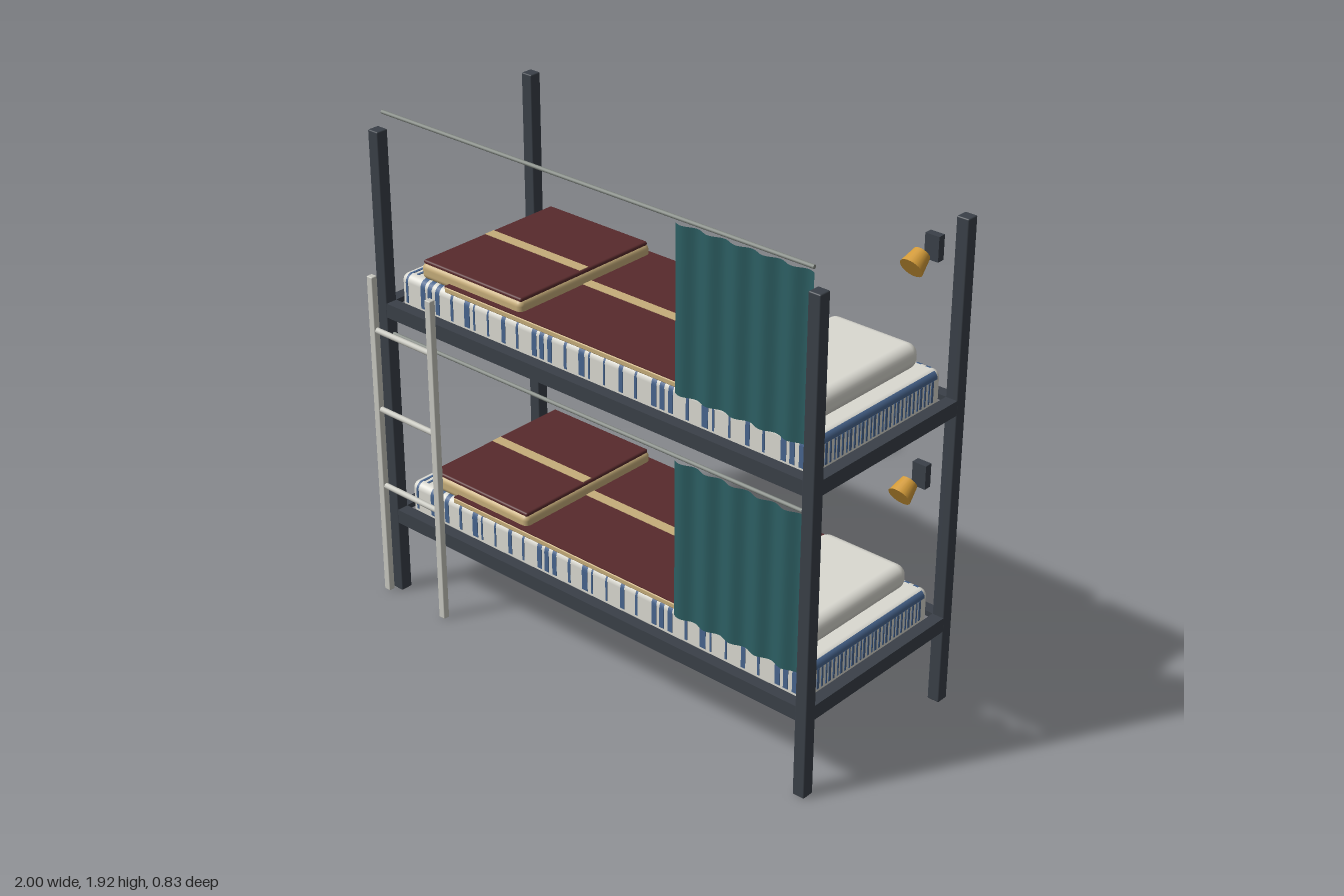
import * as THREE from 'three';
import { RoundedBoxGeometry } from 'three/addons/geometries/RoundedBoxGeometry.js';

const mat = (name, color, side = THREE.FrontSide) => {
  const m = new THREE.MeshStandardMaterial({ color, side });
  m.name = name;
  return m;
};

export function createModel() {
  const frame = mat('dark frame', 0x3a4048);
  const base = mat('bed base', 0x78797e);
  const linen = mat('white linen', 0xdad9d1);
  const blue = mat('blue stripe', 0x48658e);
  const maroon = mat('maroon wool', 0x582a2c);
  const khaki = mat('khaki trim', 0xc6ad7a);
  const teal = mat('teal curtain', 0x2c5e62, THREE.DoubleSide);
  const steel = mat('rod steel', 0x848a84);
  const pale = mat('pale ladder metal', 0xc8c8c0);
  const amber = mat('amber lamp', 0xd29a38);

  const model = new THREE.Group();
  model.name = 'bunkBed';

  const add = (parent, name, geo, material, x = 0, y = 0, z = 0) => {
    const m = new THREE.Mesh(geo, material);
    m.name = name;
    m.position.set(x, y, z);
    parent.add(m);
    return m;
  };
  // Box given by its extents; r > 0 rounds the edges
  const box = (parent, name, material, x0, x1, y0, y1, z0, z1, r = 0) => {
    const s = [x1 - x0, y1 - y0, z1 - z0];
    const geo = r ? new RoundedBoxGeometry(...s, 4, r) : new THREE.BoxGeometry(...s);
    return add(parent, name, geo, material, (x0 + x1) / 2, (y0 + y1) / 2, (z0 + z1) / 2);
  };
  const rod = (parent, name, material, x0, x1, y, z, r) => {
    const m = add(parent, name, new THREE.CylinderGeometry(r, r, x1 - x0, 12), material, (x0 + x1) / 2, y, z);
    m.rotation.z = Math.PI / 2;
  };
  // Thin open arc that follows a rounded mattress edge
  const arc = (length, start, sweep) => new THREE.CylinderGeometry(0.0295, 0.0295, length, 6, 1, true, start, sweep);

  // Corner posts
  const P = 0.024;
  for (const x of [-0.962, 0.973])
    for (const z of [-0.39, 0.358])
      box(model, 'post', frame, x - P, x + P, 0, 1.84, z - P, z + P, 0.005);

  // Hanging curtain: a plane pushed into soft pleats
  const curtainGeo = new THREE.PlaneGeometry(0.55, 0.595, 72, 1);
  const p = curtainGeo.attributes.position;
  for (let i = 0; i < p.count; i++)
    p.setZ(i, 0.008 * Math.sin(((p.getX(i) + 0.275) / 0.55) * Math.PI * 10));
  curtainGeo.computeVertexNormals();

  const buildBunk = (name, y) => {
    const g = new THREE.Group();
    g.name = name;
    g.position.y = y;
    model.add(g);

    // Rails and base panel; y = 0 is the top of the rails
    for (const z of [-0.39, 0.358]) box(g, 'sideRail', frame, -0.962, 0.973, -0.055, 0, z - 0.023, z + 0.023);
    for (const x of [-0.962, 0.973]) box(g, 'endRail', frame, x - 0.023, x + 0.023, -0.055, 0, -0.39, 0.358);
    box(g, 'basePanel', base, -0.94, 0.95, -0.045, -0.02, -0.37, 0.34);

    // Mattress
    box(g, 'mattress', linen, -0.925, 0.94, -0.035, 0.106, -0.354, 0.323, 0.028);

    // Side stripes, each running over the rounded top edge
    const t = 0.002, edgeY = 0.078;
    const pattern = [[0, 0.022], [0.036, 0.02], [0.074, 0.02], [0.15, 0.012], [0.218, 0.026],
      [0.262, 0.008], [0.33, 0.008], [0.4, 0.018], [0.47, 0.01]];
    for (let k = -1; k < 4; k++)
      for (const [o, w] of pattern) {
        const x = -0.82 + k * 0.545 + o;
        if (x < -0.9 || x + w > 0.915) continue;
        box(g, 'sideStripe', blue, x, x + w, 0, edgeY, 0.322, 0.323 + t);
        box(g, 'sideStripe', blue, x, x + w, 0, edgeY, -0.354 - t, -0.353);
        const front = arc(w, 0, Math.PI / 2).rotateZ(Math.PI / 2);
        const back = arc(w, Math.PI / 2, Math.PI / 2).rotateZ(Math.PI / 2);
        add(g, 'edgeStripe', front, blue, x + w / 2, edgeY, 0.295);
        add(g, 'edgeStripe', back, blue, x + w / 2, edgeY, -0.326);
      }

    // End stripes with a band along the rounded top edge
    for (const [x, edgeX, start] of [[-0.9255, -0.897, -Math.PI / 2], [0.9405, 0.912, Math.PI / 6]]) {
      for (let i = 0; i < 29; i++) {
        const z = -0.305 + i * 0.0205, w = [0.011, 0.006, 0.008][i % 3];
        box(g, 'endStripe', blue, x - t, x + t, 0, edgeY, z, z + w);
      }
      add(g, 'endBand', arc(0.62, start, Math.PI / 3).rotateX(-Math.PI / 2), blue, edgeX, edgeY, -0.0155);
    }
    // Top stripes at the foot end
    for (const x of [-0.893, -0.868]) box(g, 'topStripe', blue, x, x + 0.01, 0.105, 0.106 + t, -0.325, 0.295);

    // Blanket: khaki edge, maroon top, central stripe
    box(g, 'blanketEdge', khaki, -0.69, 0.5, 0.105, 0.126, -0.365, 0.332, 0.005);
    box(g, 'blanketTop', maroon, -0.69, 0.498, 0.124, 0.129, -0.362, 0.329);
    box(g, 'blanketStripe', khaki, -0.69, 0.5, 0.125, 0.131, -0.042, 0);

    // Folded blanket at the foot end
    box(g, 'foldEdge', khaki, -0.834, -0.342, 0.105, 0.168, -0.352, 0.307, 0.022);
    box(g, 'foldTop', maroon, -0.828, -0.349, 0.16, 0.177, -0.343, 0.298, 0.008);
    box(g, 'foldStripe', khaki, -0.822, -0.355, 0.173, 0.179, -0.042, 0);

    box(g, 'pillow', linen, 0.52, 0.885, 0.106, 0.199, -0.308, 0.27, 0.04);

    // Curtain and its rod
    add(g, 'curtain', curtainGeo, teal, 0.675, 0.4, 0.355);
    rod(g, 'curtainRod', steel, -0.937, 0.95, 0.716, 0.355, 0.007);

    // Reading lamp on its wall bracket
    box(g, 'lampBracket', frame, 0.82, 0.876, 0.455, 0.545, -0.413, -0.383);
    const shade = add(g, 'lampShade', new THREE.CylinderGeometry(0.031, 0.043, 0.064, 24), amber, 0.848, 0.48, -0.304);
    shade.rotation.x = -1.03;
  };
  buildBunk('lowerBunk', 0.35);
  buildBunk('upperBunk', 1.193);

  // Ladder
  const ladder = new THREE.Group();
  ladder.name = 'ladder';
  model.add(ladder);
  for (const x of [-0.985, -0.69]) box(ladder, 'stile', pale, x - 0.014, x + 0.014, 0, 1.295, 0.39, 0.416, 0.004);
  for (const y of [0.45, 0.767, 1.085]) rod(ladder, 'rung', pale, -0.985, -0.69, y, 0.403, 0.011);

  return model;
}
